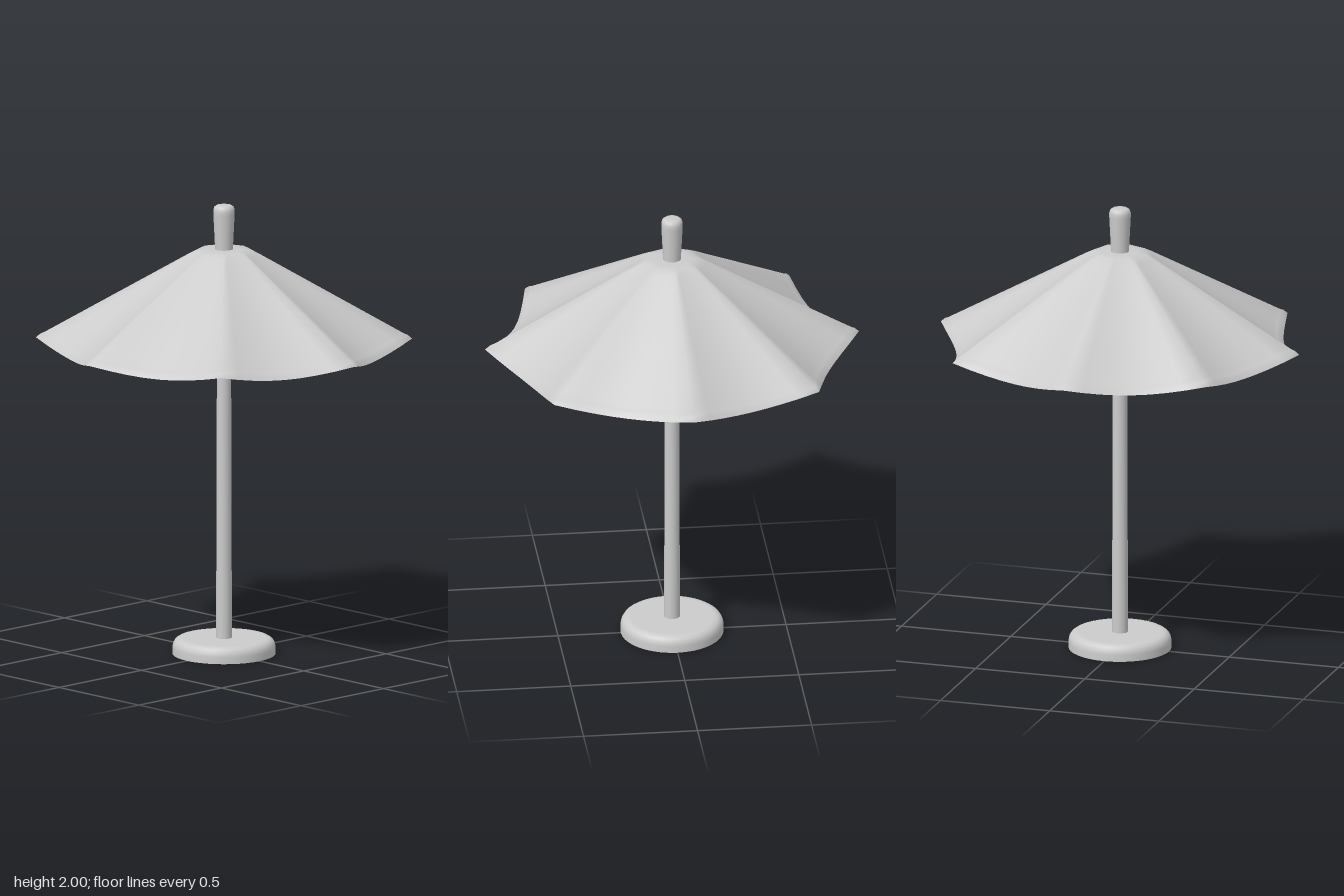
import * as THREE from 'three';

const RIBS = 8, STEPS = 8;
const TOP_R = 0.12, TOP_Y = 1.802, TIP_R = 0.82, SLOPE = 0.56;
const slopeY = (r) => TOP_Y - SLOPE * (r - TOP_R);

// Surface swept around the pole; each panel sags and scallops between the ribs
function scallopedSurface(profile) {
  const cols = RIBS * STEPS, pos = [], index = [];
  profile.forEach(([r, y]) => {
    const s = Math.max(0, (r - TOP_R) / (TIP_R - TOP_R));
    for (let j = 0; j < cols; j++) {
      const t = (j % STEPS) / STEPS;
      const bow = 4 * t * (1 - t);
      const a = (j / cols) * Math.PI * 2;
      const rad = r * (1 - 0.125 * bow * (0.6 + 0.4 * s));
      pos.push(rad * Math.sin(a), y - 0.042 * bow * s, rad * Math.cos(a));
    }
  });
  for (let i = 0; i < profile.length - 1; i++) {
    for (let j = 0; j < cols; j++) {
      const k = (j + 1) % cols;
      const a = i * cols + j, b = a + cols, c = i * cols + k, d = c + cols;
      index.push(a, b, c, b, d, c);
    }
  }
  const g = new THREE.BufferGeometry();
  g.setAttribute('position', new THREE.Float32BufferAttribute(pos, 3));
  g.setIndex(index);
  g.computeVertexNormals();
  return g;
}

const lathe = (pts, n) =>
  new THREE.LatheGeometry(pts.map(([x, y]) => new THREE.Vector2(x, y)), n);

export function createModel() {
  const group = new THREE.Group();
  const mat = new THREE.MeshStandardMaterial({ color: 0xcccccc });
  const add = (name, geo, parent = group) => {
    const m = new THREE.Mesh(geo, mat);
    m.name = name;
    parent.add(m);
    return m;
  };

  // Weighted base: flat underside and rounded upper edge
  add('base', lathe([[0.225, 0], [0.225, 0.03], [0.222, 0.046], [0.214, 0.06],
    [0.2, 0.069], [0.18, 0.071], [0, 0.071]], 40));
  const bottom = add('baseBottom', new THREE.CircleGeometry(0.225, 40));
  bottom.rotation.x = Math.PI / 2;

  // Pole
  const pole = add('pole', new THREE.CylinderGeometry(0.03, 0.035, 1.75, 20));
  pole.position.y = 0.93;

  // Finial, widening towards a rounded top
  add('finial', lathe([[0.038, 1.77], [0.04, 1.82], [0.047, 1.96], [0.047, 1.978],
    [0.043, 1.991], [0.034, 1.998], [0.02, 2], [0, 2]], 20));

  // Canopy: outer cloth with a turned-down hem
  const outer = [[0.03, TOP_Y + 0.002], [0.085, TOP_Y + 0.002], [TOP_R, TOP_Y - 0.002]];
  for (const r of [0.15, 0.28, 0.41, 0.54, 0.67, 0.76, 0.785]) outer.push([r, slopeY(r)]);
  outer.push([0.8, 1.424], [TIP_R, 1.407]);
  add('canopy', scallopedSurface(outer));

  // Canopy lining, from the hem back in to the pole
  const inner = [[TIP_R, 1.407], [0.79, 1.406], [0.772, 1.421]];
  for (const r of [0.76, 0.67, 0.54, 0.41, 0.28, 0.15]) inner.push([r, slopeY(r) - 0.014]);
  inner.push([0.11, 1.78], [0.03, 1.78]);
  add('canopyLining', scallopedSurface(inner));

  // Ribs under the cloth
  const r0 = 0.1, r1 = 0.775, drop = 0.02;
  const length = Math.hypot(r1 - r0, SLOPE * (r1 - r0));
  for (let i = 0; i < RIBS; i++) {
    const arm = new THREE.Group();
    arm.name = 'ribArm';
    arm.rotation.y = (i * Math.PI * 2) / RIBS;
    const rib = add('rib', new THREE.BoxGeometry(0.022, 0.018, length), arm);
    rib.position.set(0, slopeY((r0 + r1) / 2) - drop, (r0 + r1) / 2);
    rib.rotation.x = Math.atan(SLOPE);
    group.add(arm);
  }

  // Hub holding the ribs
  const hub = add('hub', new THREE.CylinderGeometry(0.13, 0.1, 0.03, RIBS));
  hub.material = mat.clone();
  hub.material.flatShading = true;
  hub.position.y = 1.765;
  return group;
}
